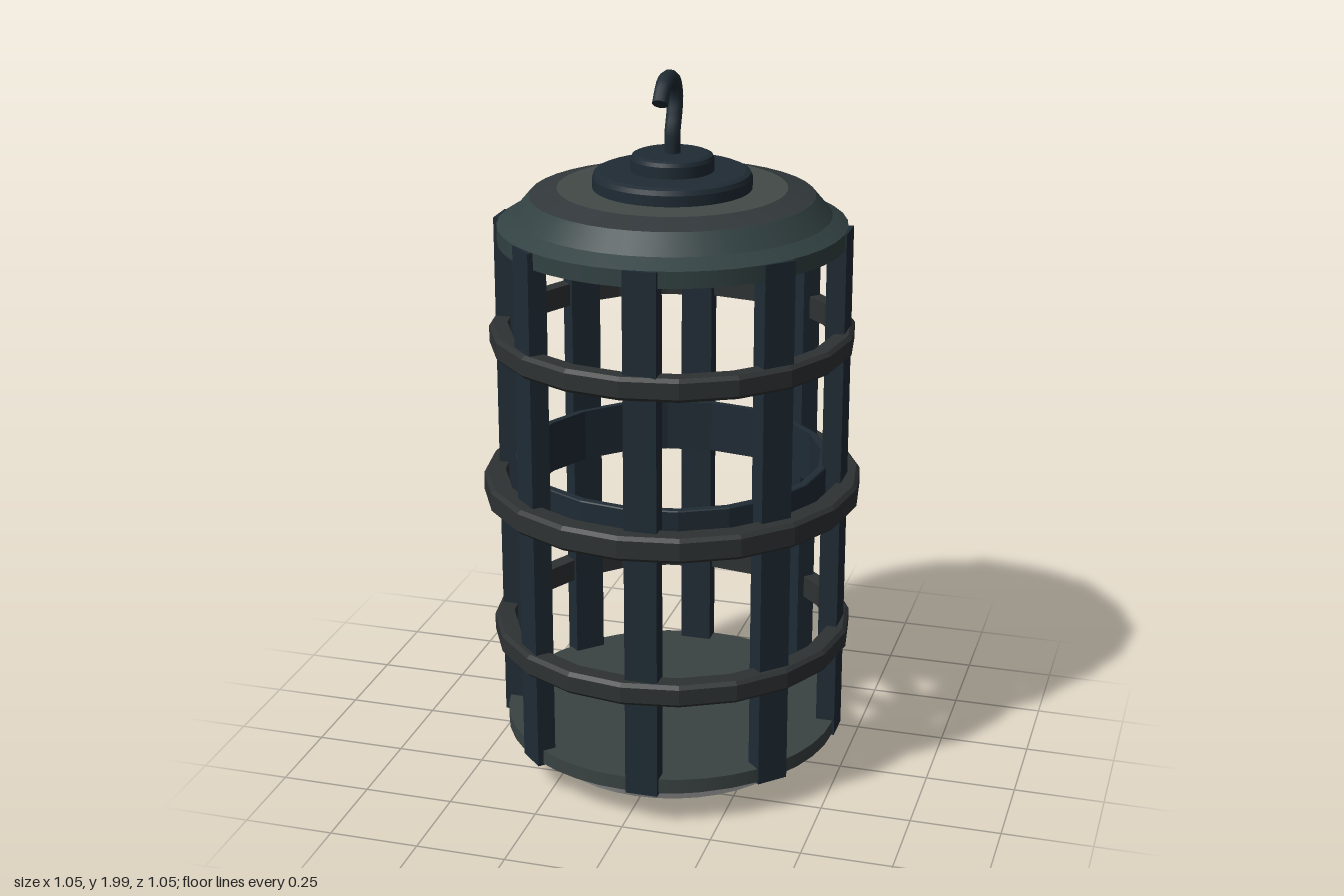
import * as THREE from 'three';

const paint = (color, flatShading = false) => new THREE.MeshStandardMaterial({ color, flatShading });

const iron = paint(0x1f2b34);
const ironFlat = paint(0x1f2b34, true);
const ringMetal = paint(0x2e3233, true);
const rimMetal = paint(0x324142);
const slopeMetal = paint(0x32383b);
const crownMetal = paint(0x434a47);
const baseMetal = paint(0x3a4242);
const paleTrim = paint(0xcccccc);

function addMesh(parent, name, geometry, material) {
  const mesh = new THREE.Mesh(geometry, material);
  mesh.name = name;
  parent.add(mesh);
  return mesh;
}

function lathe(points, segments) {
  return new THREE.LatheGeometry(points.map(([r, y]) => new THREE.Vector2(r, y)), segments);
}

// Stacked turned bands, each with its own material and a crisp edge to the next.
// Profiles run from the bottom centre outwards, up, and back to the axis.
function turned(name, profile, materials, segments = 40) {
  const group = new THREE.Group();
  group.name = name;
  for (let i = 0; i < profile.length - 1; i++) {
    addMesh(group, name + 'Band' + (i + 1), lathe([profile[i], profile[i + 1]], segments), materials[i] || materials[0]);
  }
  return group;
}

// Closed faceted hoop with bevelled edges
function hoop(name, y, inner, outer, height, bevel, material) {
  const h = height / 2;
  const profile = [
    [inner, y - h], [outer - bevel, y - h], [outer, y - h + bevel],
    [outer, y + h - bevel], [outer - bevel, y + h], [inner, y + h], [inner, y - h],
  ];
  return new THREE.Mesh(lathe(profile, 20), material).translateY(0);
}

export function createModel() {
  const model = new THREE.Group();
  model.name = 'cageLantern';

  // Base: rim, bevels, pale trim and flat floor
  model.add(turned('base',
    [[0, 0.005], [0.31, 0.005], [0.37, 0.03], [0.387, 0.055], [0.387, 0.065], [0.473, 0.105], [0.473, 0.145], [0, 0.145]],
    [slopeMetal, slopeMetal, paleTrim, baseMetal, baseMetal, baseMetal, baseMetal]));

  // Cap: flat underside, rim, shoulder and crown
  model.add(turned('cap',
    [[0, 1.535], [0.473, 1.535], [0.473, 1.58], [0.43, 1.605], [0.385, 1.658], [0.31, 1.677], [0, 1.677]],
    [slopeMetal, rimMetal, rimMetal, rimMetal, slopeMetal, crownMetal]));

  // Eight uprights, each set to one side of its radial line
  const barGeometry = new THREE.BoxGeometry(0.09, 1.48, 0.053);
  barGeometry.translate(0.049, 0.84, 0.4515);
  for (let i = 0; i < 8; i++) {
    addMesh(model, 'upright' + (i + 1), barGeometry, iron).rotation.y = i * Math.PI / 4;
  }

  // Outer rings, and the band inside the uprights
  const hoops = [
    ['lowerRing', 0.408, 0.45, 0.505, 0.064, 0.01, ringMetal],
    ['middleRing', 0.838, 0.465, 0.525, 0.07, 0.01, ringMetal],
    ['upperRing', 1.27, 0.45, 0.5, 0.064, 0.01, ringMetal],
    ['innerBand', 0.843, 0.415, 0.437, 0.148, 0.003, ironFlat],
  ];
  for (const [name, ...spec] of hoops) {
    const mesh = hoop(name, ...spec);
    mesh.name = name;
    model.add(mesh);
  }

  // Two rounded discs below the hook
  const disc = (r, y0, y1, b) => [
    [0, y0], [r, y0], [r, y1 - b], [r - b * 0.3, y1 - b * 0.3], [r - b, y1], [0, y1],
  ];
  model.add(turned('lowerDisc', disc(0.215, 1.677, 1.724, 0.018), [iron]));
  model.add(turned('upperDisc', disc(0.112, 1.724, 1.77, 0.015), [iron]));

  // Hook, curling forwards
  const path = new THREE.CatmullRomCurve3([
    [1.76, 0], [1.825, 0], [1.86, -0.013], [1.915, -0.027], [1.958, -0.01],
    [1.978, 0.035], [1.968, 0.082], [1.925, 0.117],
  ].map(([y, z]) => new THREE.Vector3(0, y, z)));
  addMesh(model, 'hook', new THREE.TubeGeometry(path, 20, 0.022, 10), iron);
  const tip = addMesh(model, 'hookTip', new THREE.CircleGeometry(0.022, 10), iron);
  tip.position.copy(path.getPoint(1));
  tip.lookAt(path.getPoint(1).add(path.getTangent(1)));

  return model;
}
